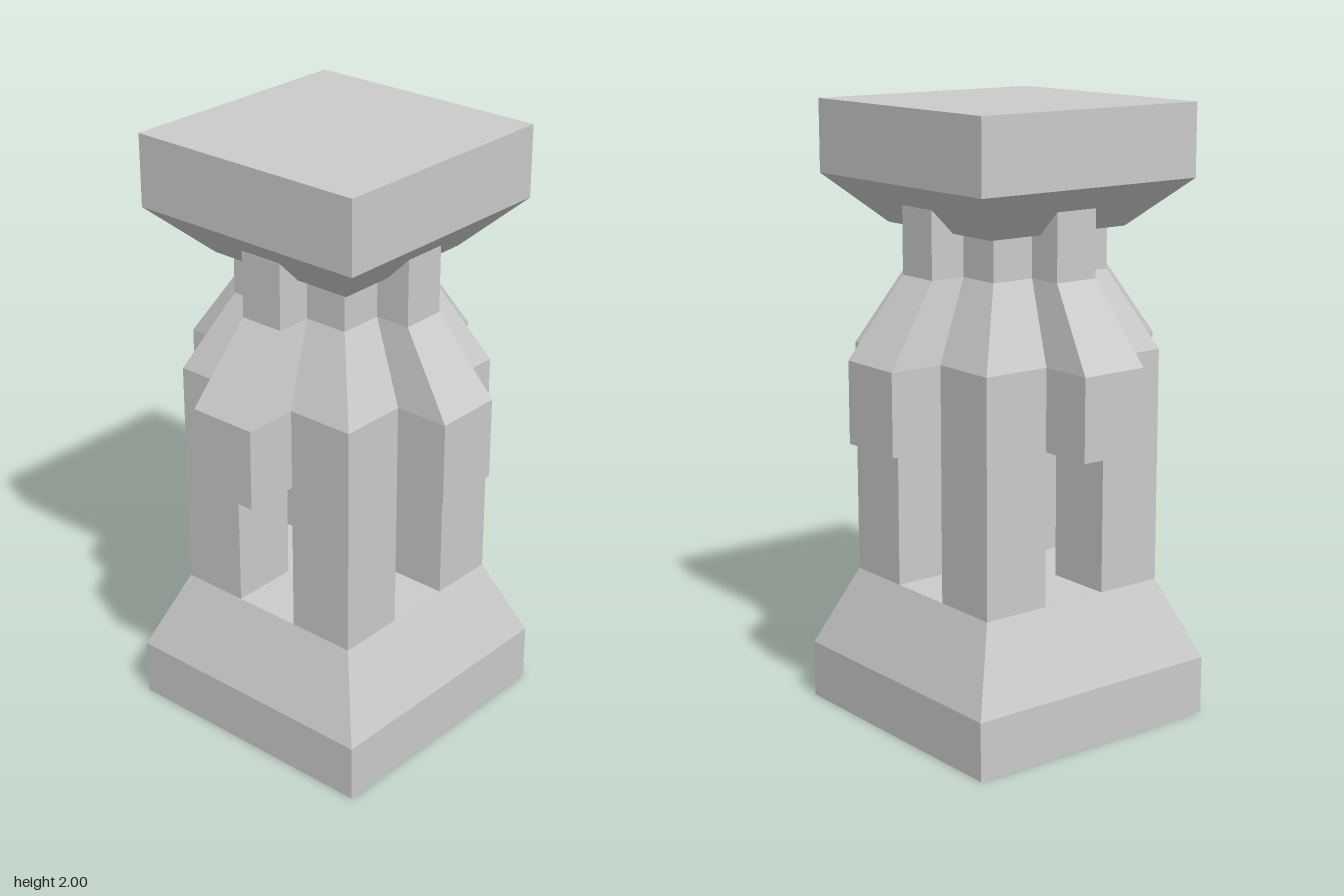
import * as THREE from 'three';

const material = new THREE.MeshStandardMaterial({ color: 0xcccccc, flatShading: true });

// Closed solid through rectangular sections [y, halfWidth, zBack, zFront], bottom to top
function loft(name, sections) {
  const rings = sections.map(([y, w, z0, z1]) => [[-w, y, z1], [w, y, z1], [w, y, z0], [-w, y, z0]]);
  const points = [];
  const quad = (a, b, c, d) => points.push(...a, ...b, ...c, ...a, ...c, ...d);
  for (let i = 0; i < rings.length - 1; i++) {
    const lo = rings[i], hi = rings[i + 1];
    for (let k = 0; k < 4; k++) {
      const n = (k + 1) % 4;
      quad(lo[k], lo[n], hi[n], hi[k]);
    }
  }
  const bottom = rings[0], top = rings[rings.length - 1];
  quad(bottom[3], bottom[2], bottom[1], bottom[0]);
  quad(top[0], top[1], top[2], top[3]);
  const geometry = new THREE.BufferGeometry();
  geometry.setAttribute('position', new THREE.Float32BufferAttribute(points, 3));
  geometry.computeVertexNormals();
  const mesh = new THREE.Mesh(geometry, material);
  mesh.name = name;
  return mesh;
}

// Square sections [y, halfWidth] centred on the axis
const squareLoft = (name, profile) => loft(name, profile.map(([y, w]) => [y, w, -w, w]));

export function createModel() {
  const model = new THREE.Group();
  model.name = 'pedestal';

  // Plinth with sloped shoulders
  model.add(squareLoft('base', [[0, 0.458], [0.19, 0.458], [0.455, 0.346]]));

  // Four corner posts, leaving two crossing openings
  for (const x of [-1, 1]) {
    for (const z of [-1, 1]) {
      const post = new THREE.Mesh(new THREE.BoxGeometry(0.23, 0.5, 0.23), material);
      post.name = 'cornerPost';
      post.position.set(x * 0.231, 0.705, z * 0.231);
      model.add(post);
    }
  }

  // Solid upper body narrowing to the neck
  model.add(squareLoft('upperBody', [[0.955, 0.346], [1.22, 0.346], [1.475, 0.226], [1.63, 0.226]]));

  // A bracket on each of the four sides
  for (let i = 0; i < 4; i++) {
    const bracket = loft('bracket', [
      [0.955, 0.116, 0.34, 0.528],
      [1.22, 0.116, 0.34, 0.528],
      [1.475, 0.076, 0.2, 0.346],
      [1.69, 0.076, 0.2, 0.346],
    ]);
    bracket.rotation.y = (i * Math.PI) / 2;
    model.add(bracket);
  }

  // Square slab with a sloped underside
  model.add(squareLoft('cap', [[1.612, 0.265], [1.765, 0.42], [2, 0.42]]));

  return model;
}
